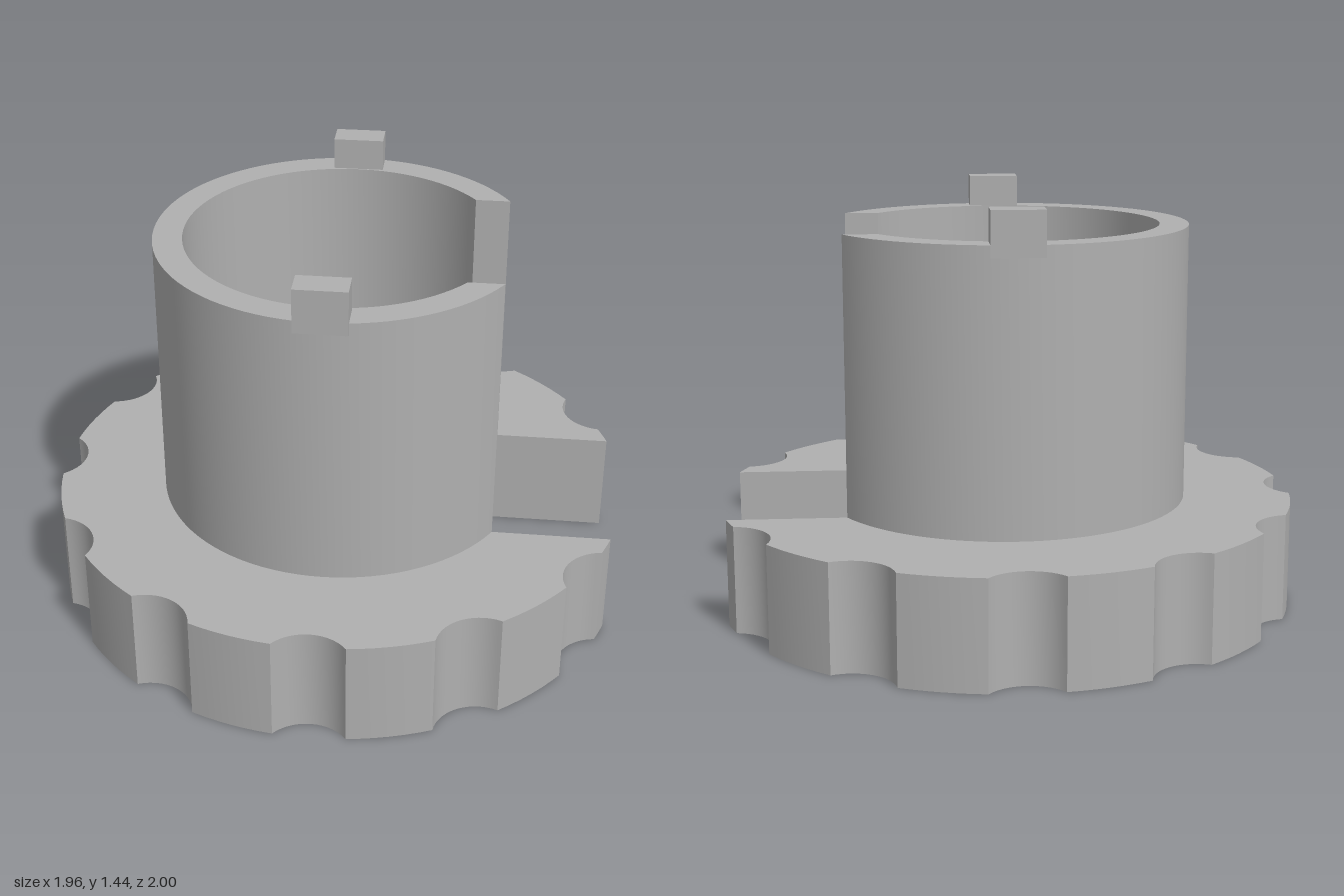
import * as THREE from 'three';
import { toCreasedNormals } from 'three/addons/utils/BufferGeometryUtils.js';

const CENTRE_X = 0.02;
const BORE = 0.535, TUBE = 0.635, RIM = 1.007;
const SLOT = 0.315; // half width of the opening towards +x
const FLANGE_TOP = 0.37, TUBE_TOP = 1.325, TAB_TOP = 1.435;
const NOTCH_R = 0.15, NOTCH_DIST = 1.09, NOTCH_HALF = Math.asin(0.12 / RIM);

// Points along an arc about (cx, cy)
function arc(cx, cy, r, from, to, steps) {
  return Array.from({ length: steps + 1 }, (_, i) => {
    const a = from + (to - from) * i / steps;
    return new THREE.Vector2(cx + r * Math.cos(a), cy + r * Math.sin(a));
  });
}

const slotAngle = (r) => Math.asin(SLOT / r);

// Bore side of a slotted ring, walked back to the start of the outline
function boreArc() {
  const a = slotAngle(BORE);
  return arc(0, 0, BORE, Math.PI * 2 - a, a, 72);
}

// Scalloped rim from one slot edge round to the other
function rimPoints() {
  const pts = [];
  let start = slotAngle(RIM);
  for (let k = 1; k <= 11; k++) {
    const a = k * Math.PI / 6;
    pts.push(...arc(0, 0, RIM, start, a - NOTCH_HALF, 6));
    const cx = NOTCH_DIST * Math.cos(a), cy = NOTCH_DIST * Math.sin(a);
    const half = Math.atan2(RIM * Math.sin(NOTCH_HALF), NOTCH_DIST - RIM * Math.cos(NOTCH_HALF));
    const scoop = arc(cx, cy, NOTCH_R, a + Math.PI + half, a + Math.PI - half, 14);
    pts.push(...scoop.slice(1, -1));
    start = a + NOTCH_HALF;
  }
  pts.push(...arc(0, 0, RIM, start, Math.PI * 2 - slotAngle(RIM), 6));
  return pts;
}

// Extrude an outline upwards between two heights
function upright(points, bottom, top) {
  const geo = new THREE.ExtrudeGeometry(new THREE.Shape(points), {
    depth: top - bottom, bevelEnabled: false, steps: 1,
  });
  geo.rotateX(-Math.PI / 2).translate(0, bottom, 0);
  return toCreasedNormals(geo, 0.4);
}

export function createModel() {
  const grey = new THREE.MeshStandardMaterial({ color: 0xb0b0b0 });
  grey.name = 'grey';
  const model = new THREE.Group();
  model.name = 'slottedCollar';
  const add = (name, geo) => {
    const mesh = new THREE.Mesh(geo, grey);
    mesh.name = name;
    mesh.position.x = CENTRE_X;
    model.add(mesh);
    return mesh;
  };

  // Scalloped grip flange
  add('flange', upright([...rimPoints(), ...boreArc()], 0, FLANGE_TOP));

  // Slotted sleeve standing on the flange
  const a = slotAngle(TUBE);
  const outer = arc(0, 0, TUBE, a, Math.PI * 2 - a, 80);
  add('sleeve', upright([...outer, ...boreArc()], FLANGE_TOP, TUBE_TOP));

  // Locating tabs on the front and back of the sleeve
  const tabBottom = 1.285;
  for (const side of [1, -1]) {
    const tab = add(side > 0 ? 'frontTab' : 'backTab',
      new THREE.BoxGeometry(0.175, TAB_TOP - tabBottom, 0.098));
    tab.position.set(CENTRE_X, (TAB_TOP + tabBottom) / 2, side * 0.588);
  }
  return model;
}
